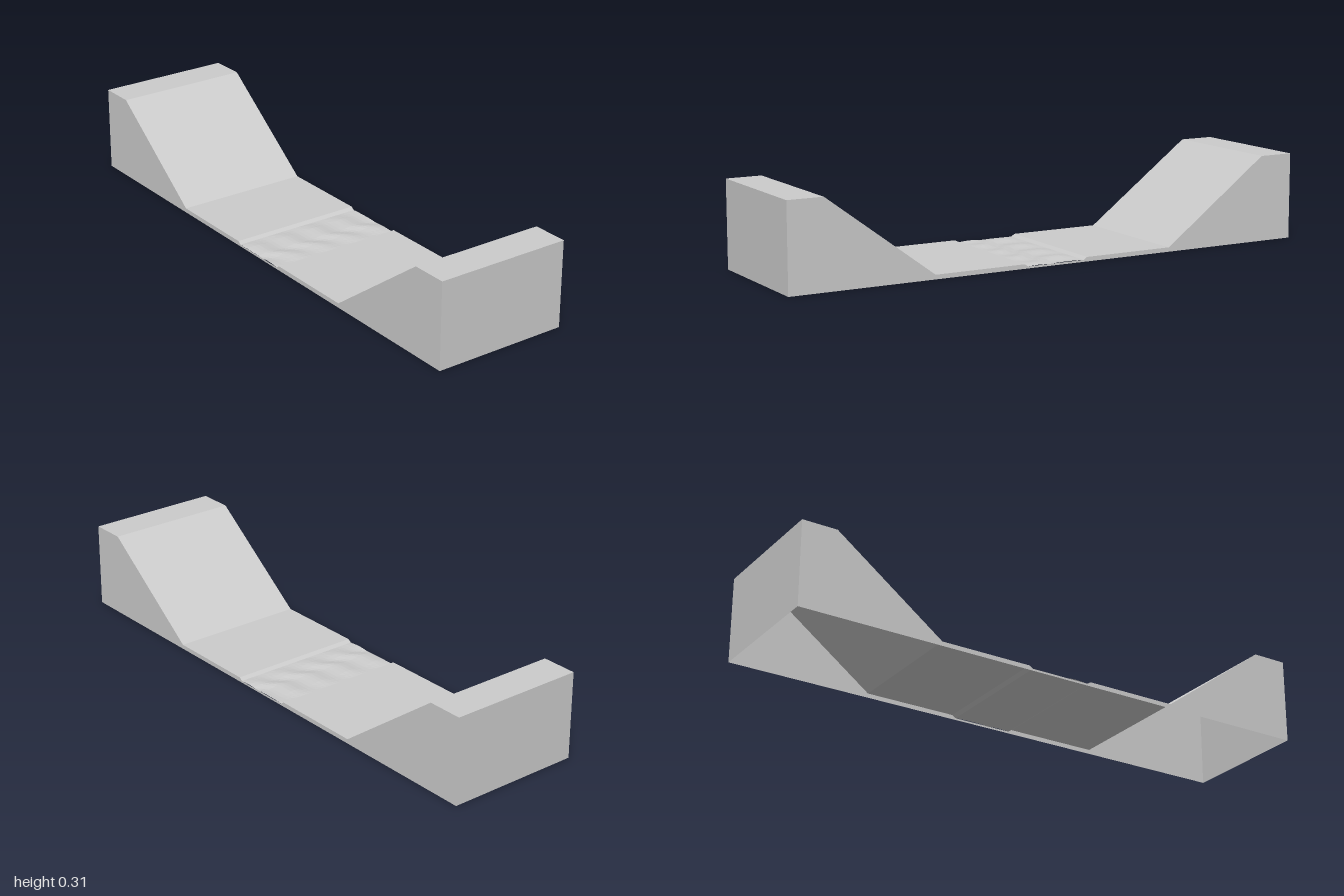
import * as THREE from 'three';

const HALF_DEPTH = 0.25;
const WATER_Y = 0.007;

export function createModel() {
  const group = new THREE.Group();
  const material = new THREE.MeshStandardMaterial({
    color: 0xcccccc, flatShading: true, side: THREE.DoubleSide,
  });
  const add = (name, geometry) => {
    const mesh = new THREE.Mesh(geometry, material);
    mesh.name = name;
    group.add(mesh);
    return mesh;
  };

  // A strip spanning the full depth between two profile points (x, y), a left of b
  const strip = (name, [ax, ay], [bx, by]) => {
    const g = new THREE.PlaneGeometry(1, 2 * HALF_DEPTH).rotateX(-Math.PI / 2);
    const p = g.attributes.position;
    for (let i = 0; i < p.count; i++) {
      const atB = p.getX(i) > 0;
      p.setXY(i, atB ? bx : ax, atB ? by : ay);
    }
    g.computeVertexNormals();
    return add(name, g);
  };

  // Half profile, from the outer foot to the stream edge
  const half = [[1, 0], [1, 0.313], [0.87, 0.313], [0.468, 0.016], [0.125, 0.016], [0.112, WATER_Y]];
  const names = ['endWall', 'platform', 'ramp', 'floor', 'streamBank'];
  names.forEach((name, i) => {
    const [ax, ay] = half[i], [bx, by] = half[i + 1];
    strip(name + 'Left', [bx, by], [ax, ay]);
    strip(name + 'Right', [-ax, ay], [-bx, by]);
  });

  // Side walls closing the shell; the underside stays open
  const outline = [
    ...half.map(([x, y]) => new THREE.Vector2(-x, y)),
    ...half.slice().reverse().map(([x, y]) => new THREE.Vector2(x, y)),
  ];
  const wall = new THREE.ShapeGeometry(new THREE.Shape(outline));
  add('frontWall', wall).position.z = HALF_DEPTH;
  const back = add('backWall', wall);
  back.position.z = -HALF_DEPTH;
  back.rotation.y = Math.PI;

  // Rippled stream: four crests along the depth, kinked sideways past the middle
  const water = new THREE.PlaneGeometry(0.224, 2 * HALF_DEPTH, 10, 32).rotateX(-Math.PI / 2);
  const p = water.attributes.position;
  for (let i = 0; i < p.count; i++) {
    const x = p.getX(i), z = p.getZ(i);
    const kink = 0.06 * THREE.MathUtils.smoothstep(x, -0.01, 0.06);
    const fade = Math.min(1, (0.112 - Math.abs(x)) / 0.04);
    const wave = Math.sin(((z + kink + 0.19) / 0.123) * Math.PI * 2);
    p.setY(i, WATER_Y + fade * (0.002 + 0.003 * wave));
  }
  water.computeVertexNormals();
  add('stream', water);

  return group;
}
